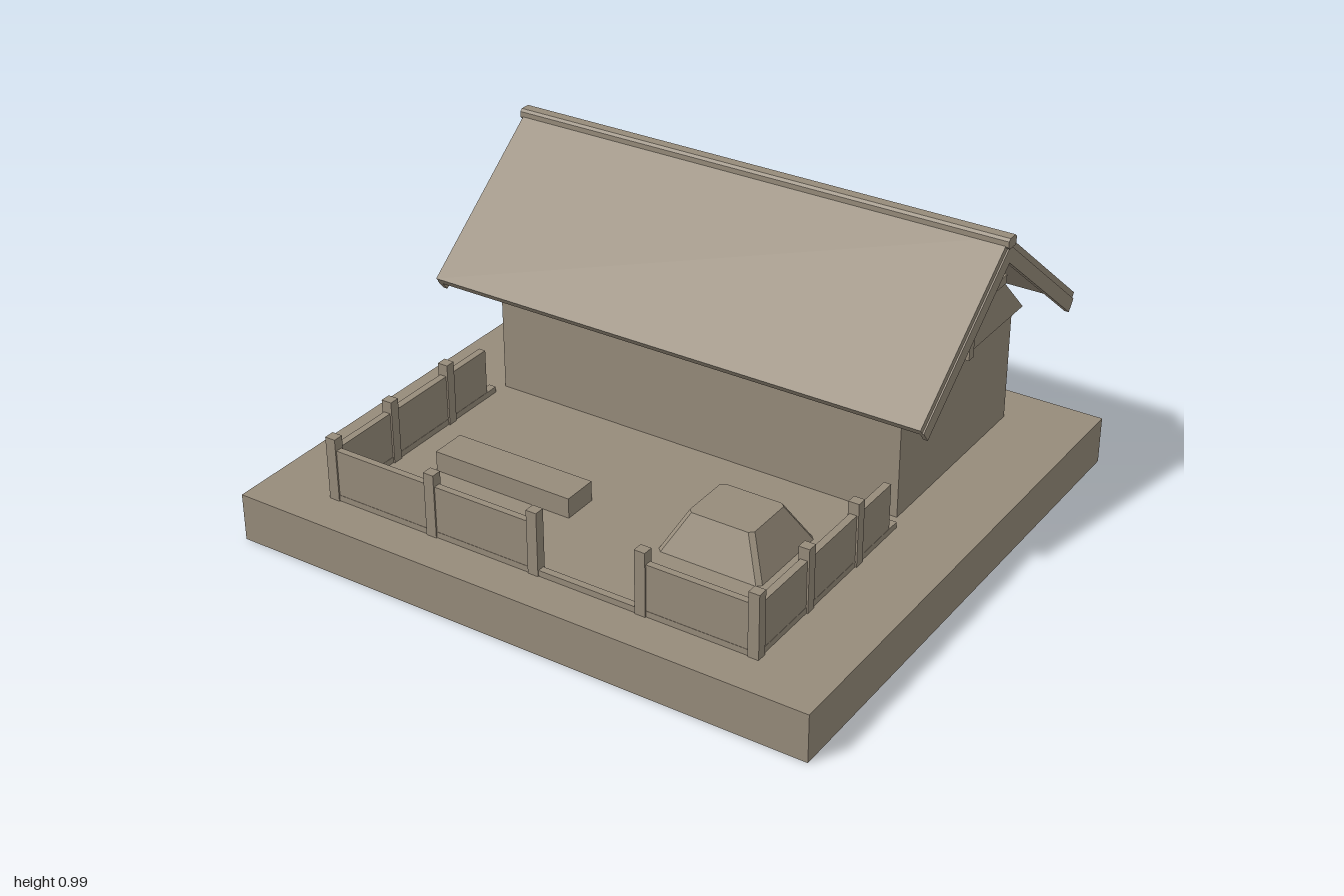
import * as THREE from 'three';

const clay = new THREE.MeshStandardMaterial({ color: 0x968b7a });
clay.name = 'warm grey clay';

export function createModel() {
  const model = new THREE.Group();
  model.name = 'houseWithYard';

  const add = (name, geometry, parent = model) => {
    const mesh = new THREE.Mesh(geometry, clay);
    mesh.name = name;
    parent.add(mesh);
    return mesh;
  };
  // Box given by its extents on each axis
  const box = (name, x0, x1, y0, y1, z0, z1, parent) => {
    const mesh = add(name, new THREE.BoxGeometry(x1 - x0, y1 - y0, z1 - z0), parent);
    mesh.position.set((x0 + x1) / 2, (y0 + y1) / 2, (z0 + z1) / 2);
    return mesh;
  };
  // Profile of [z, y] points extruded along x
  const prism = (name, points, x0, x1, parent) => {
    const shape = new THREE.Shape(points.map(([z, y]) => new THREE.Vector2(-z, y)));
    const g = new THREE.ExtrudeGeometry(shape, { depth: x1 - x0, bevelEnabled: false });
    g.rotateY(Math.PI / 2).translate(x0, 0, 0);
    return add(name, g, parent);
  };

  // Ground slab
  box('base', -1, 1, 0, 0.16, -0.925, 0.925);

  // House body and gabled attic
  const house = new THREE.Group();
  house.name = 'house';
  model.add(house);
  const ridgeZ = -0.405;
  box('walls', -0.73, 0.73, 0.16, 0.552, -0.765, -0.05, house);
  prism('attic', [[-0.01, 0.55], [ridgeZ, 0.94], [-0.8, 0.55]], -0.75, 0.75, house);

  // Crossed beams on each gable
  for (const s of [-1, 1]) {
    const a = Math.min(s * 0.745, s * 0.772), b = Math.max(s * 0.745, s * 0.772);
    box('gablePost', a, b, 0.55, 0.935, ridgeZ - 0.015, ridgeZ + 0.015, house);
    box('gableBeam', a, b, 0.715, 0.745, ridgeZ - 0.215, ridgeZ + 0.215, house);
  }

  // Roof slopes with barge boards under both ends
  const run = 0.51, top = 0.985, eave = 0.583;
  const slope = (side, lift, thick) => {
    const dz = thick * 0.62, dy = thick * 0.785;
    const z = (d) => ridgeZ + side * d;
    const oz = lift * 0.62, oy = lift * 0.785;
    return [
      [z(0), top - lift / 0.785],
      [z(run - oz), eave - oy],
      [z(run - oz - dz), eave - oy - dy],
      [z(0), top - (lift + thick) / 0.785],
    ];
  };
  for (const side of [1, -1]) {
    prism('roofSlope', slope(side, 0, 0.03), -0.87, 0.87, house);
    for (const x of [-0.875, 0.86]) prism('bargeBoard', slope(side, 0.02, 0.045), x, x + 0.015, house);
  }

  // Chamfered ridge beam
  const c = 0.008;
  prism('ridgeBeam', [
    [-0.38, 0.955 + c], [-0.38, 0.99 - c], [-0.38 - c, 0.99], [-0.43 + c, 0.99],
    [-0.43, 0.99 - c], [-0.43, 0.955 + c], [-0.43 + c, 0.955], [-0.38 - c, 0.955],
  ], -0.88, 0.88, house);

  // Yard fence: posts, low sills and panels, with a gateway at the front
  const fence = new THREE.Group();
  fence.name = 'fence';
  model.add(fence);
  const post = (x, z) => box('fencePost', x - 0.018, x + 0.018, 0.16, 0.375, z - 0.017, z + 0.017, fence);
  const postX = [-0.745, -0.373, -0.002, 0.37, 0.743];
  postX.forEach((x, i) => {
    post(x, 0.775);
    if (i < 4 && i !== 2) box('fencePanel', x, postX[i + 1], 0.178, 0.335, 0.765, 0.787, fence);
  });
  box('frontSill', -0.75, 0.75, 0.16, 0.18, 0.765, 0.788, fence);
  for (const x of [-0.745, 0.743]) {
    for (const z of [0.51, 0.232]) post(x, z);
    box('fencePanel', x - 0.012, x + 0.012, 0.178, 0.335, 0.045, 0.775, fence);
    box('sideSill', x - 0.013, x + 0.013, 0.16, 0.18, 0, 0.775, fence);
  }

  // Low bench in the yard
  box('bench', -0.59, -0.09, 0.16, 0.228, 0.37, 0.49);

  // Mound with sloping sides and trimmed corners
  const hx = 0.178, hz = 0.158, cut = 0.014;
  const outline = new THREE.Shape([
    [hx, hz - cut], [hx - cut, hz], [cut - hx, hz], [-hx, hz - cut],
    [-hx, cut - hz], [cut - hx, -hz], [hx - cut, -hz], [hx, cut - hz],
  ].map(([x, y]) => new THREE.Vector2(x, y)));
  const moundGeo = new THREE.ExtrudeGeometry(outline, { depth: 0.125, bevelEnabled: false });
  const p = moundGeo.attributes.position;
  for (let i = 0; i < p.count; i++) {
    if (p.getZ(i) > 0.1) {
      p.setX(i, p.getX(i) - Math.sign(p.getX(i)) * 0.067);
      p.setY(i, p.getY(i) - Math.sign(p.getY(i)) * 0.064);
    }
  }
  moundGeo.rotateX(-Math.PI / 2);
  moundGeo.computeVertexNormals();
  add('mound', moundGeo).position.set(0.403, 0.16, 0.333);

  return model;
}
